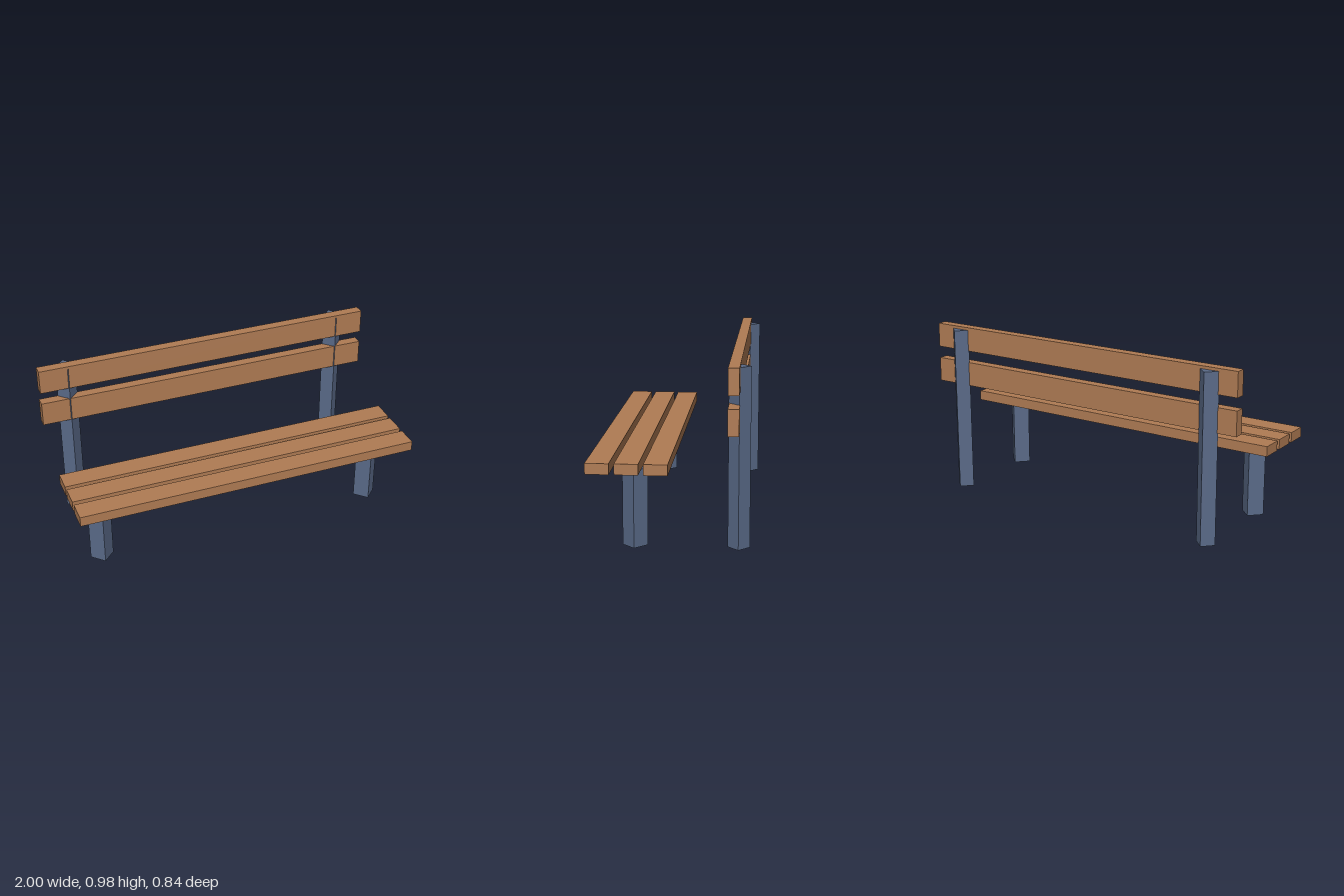
import * as THREE from 'three';

export function createModel() {
  const bench = new THREE.Group();
  bench.name = 'bench';
  const wood = new THREE.MeshStandardMaterial({ color: 0xb07c54, flatShading: true });
  wood.name = 'wood';
  const metal = new THREE.MeshStandardMaterial({ color: 0x5a6a88, flatShading: true });
  metal.name = 'blue grey metal';

  // Full-length plank, placed by its underside
  function plank(name, height, depth, bottom, z) {
    const mesh = new THREE.Mesh(new THREE.BoxGeometry(2, height, depth), wood);
    mesh.name = name;
    mesh.position.set(0, bottom + height / 2, z);
    bench.add(mesh);
  }

  // Four-sided post with a corner facing forward
  function post(name, radius, height, x, z) {
    const mesh = new THREE.Mesh(new THREE.CylinderGeometry(radius, radius, height, 4), metal);
    mesh.name = name;
    mesh.position.set(x, height / 2, z);
    bench.add(mesh);
  }

  // Seat slats and backrest planks
  [0.359, 0.208, 0.058].forEach((z, i) => plank(`seatSlat${i + 1}`, 0.058, 0.124, 0.418, z));
  [0.627, 0.836].forEach((y, i) => plank(`backPlank${i + 1}`, 0.14, 0.058, y, -0.334));

  // Short front legs and tall rear posts
  for (const [side, x] of [['left', 0.833], ['right', -0.833]]) {
    post(`${side}FrontLeg`, 0.067, 0.418, x, 0.183);
    post(`${side}RearPost`, 0.058, 0.96, x, -0.36);
  }
  return bench;
}
